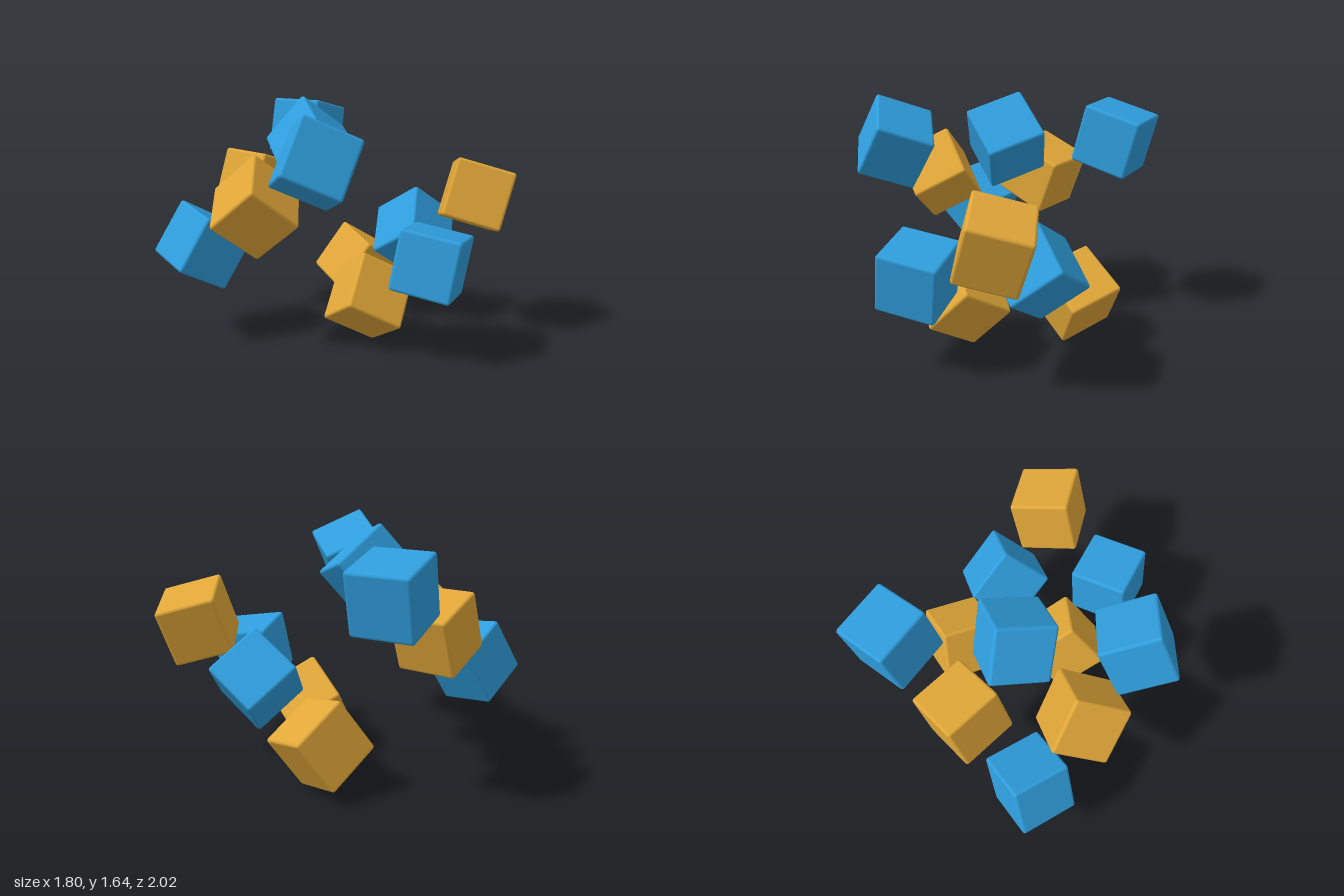
import * as THREE from 'three';
import { RoundedBoxGeometry } from 'three/addons/geometries/RoundedBoxGeometry.js';

// Grid of cell centres that the tumbled cubes sit on
const X = [-0.573, 0.003, 0.58];
const Y = [0.326, 0.66, 0.992, 1.325];
const Z = [-0.743, -0.25, 0.235, 0.717];

// Each cube: colour, grid cell [column, layer, row], two of its edge directions
const CUBES = [
  ['blue', [0, 3, 2], [-0.52, -0.83, -0.03], [0.585, -0.43, 0.68]],
  ['blue', [1, 3, 1], [-0.335, -0.75, -0.56], [0.725, -0.575, 0.34]],
  ['blue', [2, 3, 0], [0.965, -0.235, -0.08], [0.08, 0.01, 0.99]],
  ['gold', [0, 2, 1], [-0.17, -0.635, -0.75], [0.69, -0.63, 0.36]],
  ['gold', [1, 2, 0], [0.935, -0.34, 0.07], [-0.075, -0.01, 0.99]],
  ['gold', [2, 2, 3], [-0.345, -0.93, -0.1], [0.82, -0.22, -0.53]],
  ['blue', [0, 1, 0], [-0.44, -0.85, -0.27], [0.84, -0.49, 0.18]],
  ['blue', [1, 1, 3], [-0.167, -0.98, -0.11], [0.95, -0.13, -0.28]],
  ['blue', [2, 1, 2], [0.04, -0.53, -0.85], [0.7, -0.55, 0.4]],
  ['gold', [1, 0, 2], [-0.66, 0.47, -0.59], [0.68, 0.71, -0.14]],
  ['gold', [2, 0, 1], [-0.41, -0.82, -0.4], [0.82, -0.52, 0.24]],
];

// Rotation whose first two axes follow the given edge directions
function orient(mesh, a, b) {
  const u = new THREE.Vector3(...a).normalize();
  const v = new THREE.Vector3(...b);
  v.addScaledVector(u, -u.dot(v)).normalize();
  const w = new THREE.Vector3().crossVectors(u, v);
  mesh.quaternion.setFromRotationMatrix(new THREE.Matrix4().makeBasis(u, v, w));
}

export function createModel() {
  const group = new THREE.Group();
  group.name = 'tumbledCubes';

  const materials = {
    blue: new THREE.MeshStandardMaterial({ name: 'blue', color: 0x2f9edd }),
    gold: new THREE.MeshStandardMaterial({ name: 'gold', color: 0xe0a638 }),
  };

  // One softly rounded cube shared by all the blocks
  const cube = new RoundedBoxGeometry(0.4, 0.4, 0.4, 4, 0.02);

  CUBES.forEach(([color, [i, j, k], a, b], n) => {
    const mesh = new THREE.Mesh(cube, materials[color]);
    mesh.name = `${color}Cube${n + 1}`;
    mesh.position.set(X[i], Y[j], Z[k]);
    orient(mesh, a, b);
    group.add(mesh);
  });
  return group;
}
